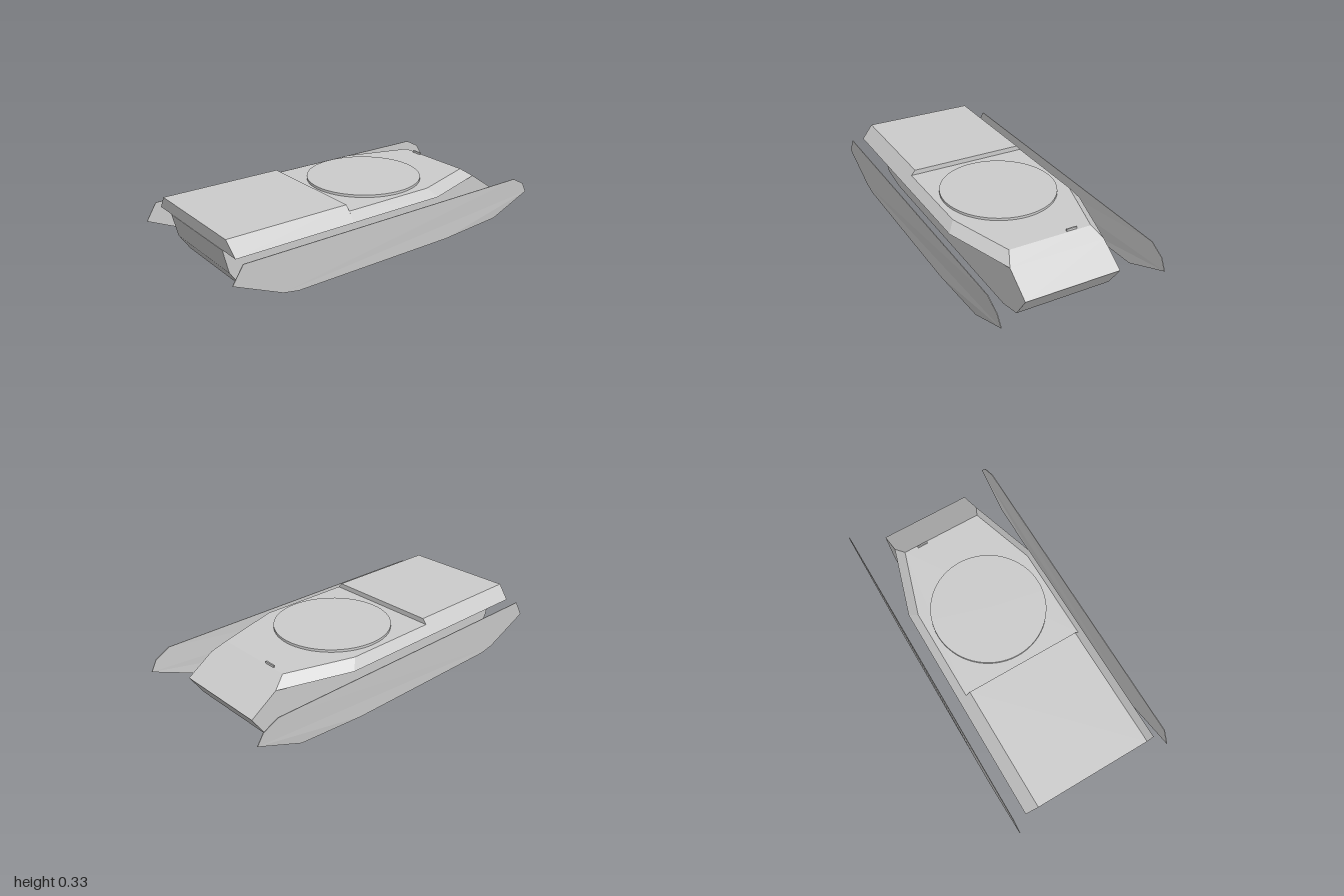
import * as THREE from 'three';
import { ConvexGeometry } from 'three/addons/geometries/ConvexGeometry.js';

const material = new THREE.MeshStandardMaterial({ color: 0xcccccc, flatShading: true });
const thinMaterial = new THREE.MeshStandardMaterial({ color: 0xcccccc, flatShading: true, side: THREE.DoubleSide });

// Extrude a side profile of [x, y] points, centred on z = 0
function extrudeProfile(points, width) {
  const shape = new THREE.Shape(points.map(([x, y]) => new THREE.Vector2(x, y)));
  const geometry = new THREE.ExtrudeGeometry(shape, { depth: width, bevelEnabled: false });
  return geometry.translate(0, 0, -width / 2);
}

// Convex block from [x, y, halfWidth] corners mirrored across z = 0
function mirroredBlock(corners) {
  return new ConvexGeometry(corners.flatMap(([x, y, z]) => [
    new THREE.Vector3(x, y, z), new THREE.Vector3(x, y, -z),
  ]));
}

export function createModel() {
  const model = new THREE.Group();
  model.name = 'trackedVehicleHull';
  const add = (name, geometry, mat = material) => {
    const mesh = new THREE.Mesh(geometry, mat);
    mesh.name = name;
    model.add(mesh);
    return mesh;
  };

  // Lower tub with sloped nose and rear
  add('lowerHull', extrudeProfile([
    [-0.94, 0.25], [-0.91, 0.12], [-0.85, 0.03], [-0.68, 0], [0.68, 0],
    [0.81, 0.03], [0.89, 0.15], [0.74, 0.252],
  ], 0.546));

  // Raised engine deck with sloped sides
  add('rearDeck', mirroredBlock([
    [-0.94, 0.252, 0.398], [-0.25, 0.252, 0.398],
    [-0.95, 0.33, 0.332], [-0.25, 0.33, 0.332],
  ]));

  // Lower fighting deck tapering to the nose
  add('frontDeck', mirroredBlock([
    [-0.25, 0.252, 0.398], [0.335, 0.252, 0.398], [0.74, 0.252, 0.273],
    [-0.25, 0.302, 0.356], [0.29, 0.302, 0.356], [0.667, 0.302, 0.238],
  ]));

  // Turret ring
  const ring = add('turretRing', new THREE.CylinderGeometry(0.323, 0.323, 0.015, 64));
  ring.position.set(0.125, 0.3085, 0);

  // Small periscope guard near the glacis
  const guard = add('periscopeGuard', new THREE.BoxGeometry(0.008, 0.013, 0.062));
  guard.position.set(0.657, 0.308, -0.128);

  // Thin side skirts, leaning inward at the lower front
  const skirtProfile = [
    [-1, 0.16], [-0.94, 0.255], [0.88, 0.255], [0.965, 0.21], [1, 0.15],
    [0.74, 0.042], [0.35, 0.02], [-0.64, 0.02], [-0.73, 0.037],
  ];
  for (const side of [1, -1]) {
    const geometry = extrudeProfile(skirtProfile, 0.004);
    const position = geometry.attributes.position;
    for (let i = 0; i < position.count; i++) {
      const drop = (0.255 - position.getY(i)) / 0.235;
      const lean = (position.getX(i) > 0.5 ? 0.011 : 0.005) * drop;
      position.setZ(i, position.getZ(i) + side * (0.467 - lean));
    }
    geometry.computeVertexNormals();
    add(side > 0 ? 'frontSideSkirt' : 'backSideSkirt', geometry, thinMaterial);
  }
  return model;
}
